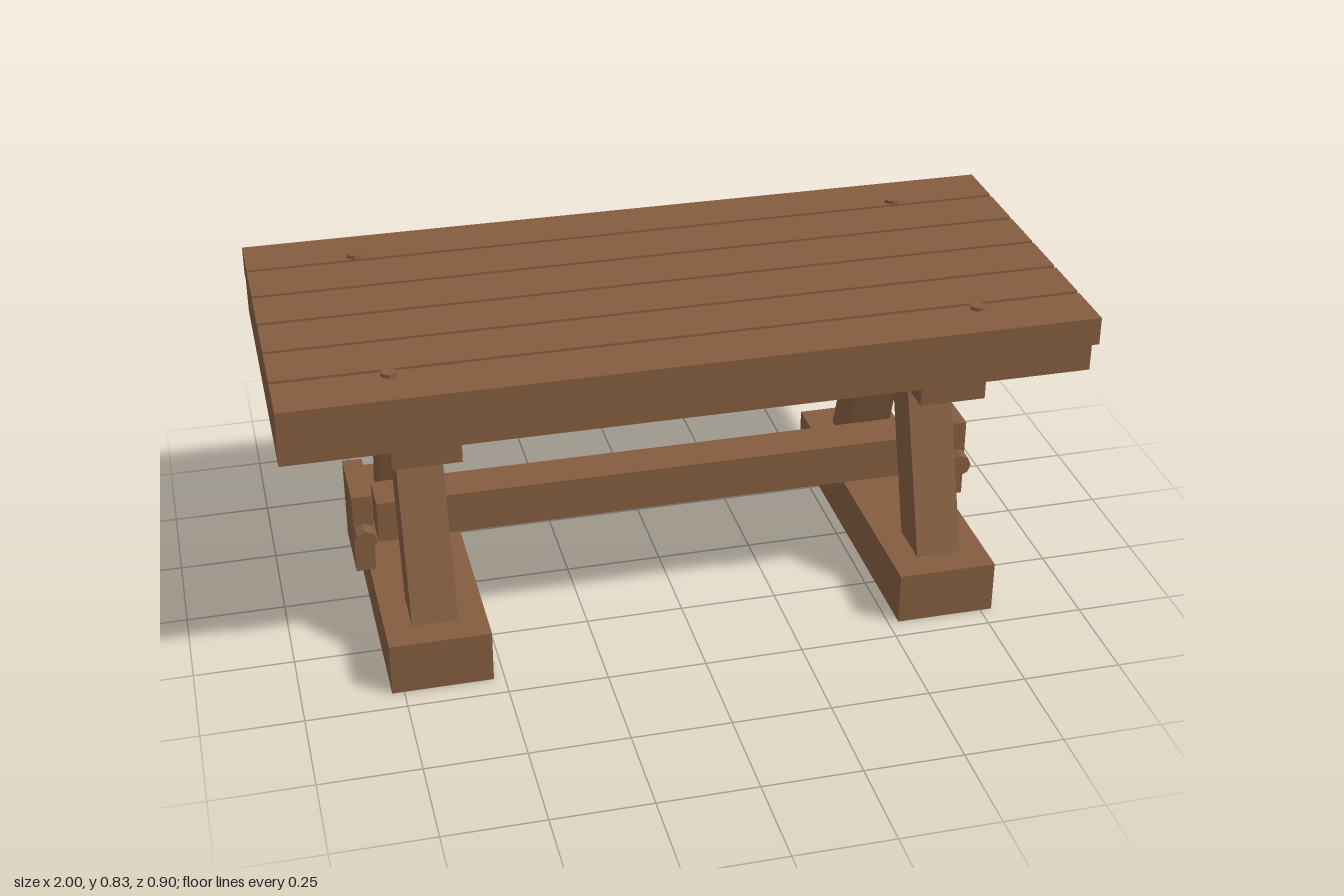
import * as THREE from 'three';

const wood = new THREE.MeshStandardMaterial({ color: 0x845d40 });
wood.name = 'brown wood';

export function createModel() {
  const table = new THREE.Group();
  table.name = 'table';

  function add(name, geometry, x, y, z, parent = table) {
    const mesh = new THREE.Mesh(geometry, wood);
    mesh.name = name;
    mesh.position.set(x, y, z);
    parent.add(mesh);
    return mesh;
  }
  // Box given by its extents on each axis
  function box(name, [x0, x1], [y0, y1], [z0, z1], parent) {
    return add(name, new THREE.BoxGeometry(x1 - x0, y1 - y0, z1 - z0),
      (x0 + x1) / 2, (y0 + y1) / 2, (z0 + z1) / 2, parent);
  }
  // Octagonal prism with flat sides
  function octagon(radius, height) {
    return new THREE.CylinderGeometry(radius, radius, height, 8).toNonIndexed();
  }

  // Top: a thick slab with six planks separated by narrow grooves
  box('slab', [-1, 1], [0.66, 0.768], [-0.409, 0.409]);
  const pitch = 0.1515, plankWidth = 0.14;
  for (let i = 0; i < 6; i++) {
    const z = (i - 2.5) * pitch;
    box('plank', [-1, 1], [0.751, 0.823], [z - plankWidth / 2, z + plankWidth / 2]);
  }

  // Bolt heads near the corners of the top
  for (const x of [-0.725, 0.725]) {
    for (const z of [-0.328, 0.328]) {
      add('bolt', octagon(0.019, 0.018), x, 0.823, z);
    }
  }

  // Leaning leg: a parallelogram extruded across x
  function legGeometry(side) {
    const shape = new THREE.Shape([[0.24, 0.13], [0.365, 0.13], [0.203, 0.605], [0.08, 0.605]]
      .map(([z, y]) => new THREE.Vector2(-side * z, y)));
    const geometry = new THREE.ExtrudeGeometry(shape, { depth: 0.115, bevelEnabled: false });
    geometry.translate(0, 0, -0.0575);
    return geometry.rotateY(Math.PI / 2);
  }

  // A trestle at each end
  for (const s of [-1, 1]) {
    const trestle = new THREE.Group();
    trestle.name = s > 0 ? 'leftTrestle' : 'rightTrestle';
    table.add(trestle);
    const span = (a, b) => (s > 0 ? [a, b] : [-b, -a]);
    box('foot', span(0.527, 0.78), [0, 0.137], [-0.44, 0.44], trestle);
    box('brace', span(0.57, 0.738), [0.6, 0.66], [-0.385, 0.385], trestle);
    for (const side of [-1, 1]) add('leg', legGeometry(side), s * 0.655, 0, 0, trestle);

    // End block with its peg at the front
    box('endBlock', span(0.765, 0.815), [0.143, 0.36], [-0.095, 0.095], trestle);
    const peg = add('peg', octagon(0.03, 0.05), s * 0.79, 0.252, 0.11, trestle);
    peg.rotation.x = Math.PI / 2;
  }

  // Long stretcher between the trestles
  box('stretcher', [-0.75, 0.75], [0.197, 0.31], [-0.055, 0.055]);

  // Flat shading for the faceted pegs and bolts
  table.traverse((o) => {
    if (o.name === 'peg' || o.name === 'bolt') o.geometry.computeVertexNormals();
  });
  return table;
}
